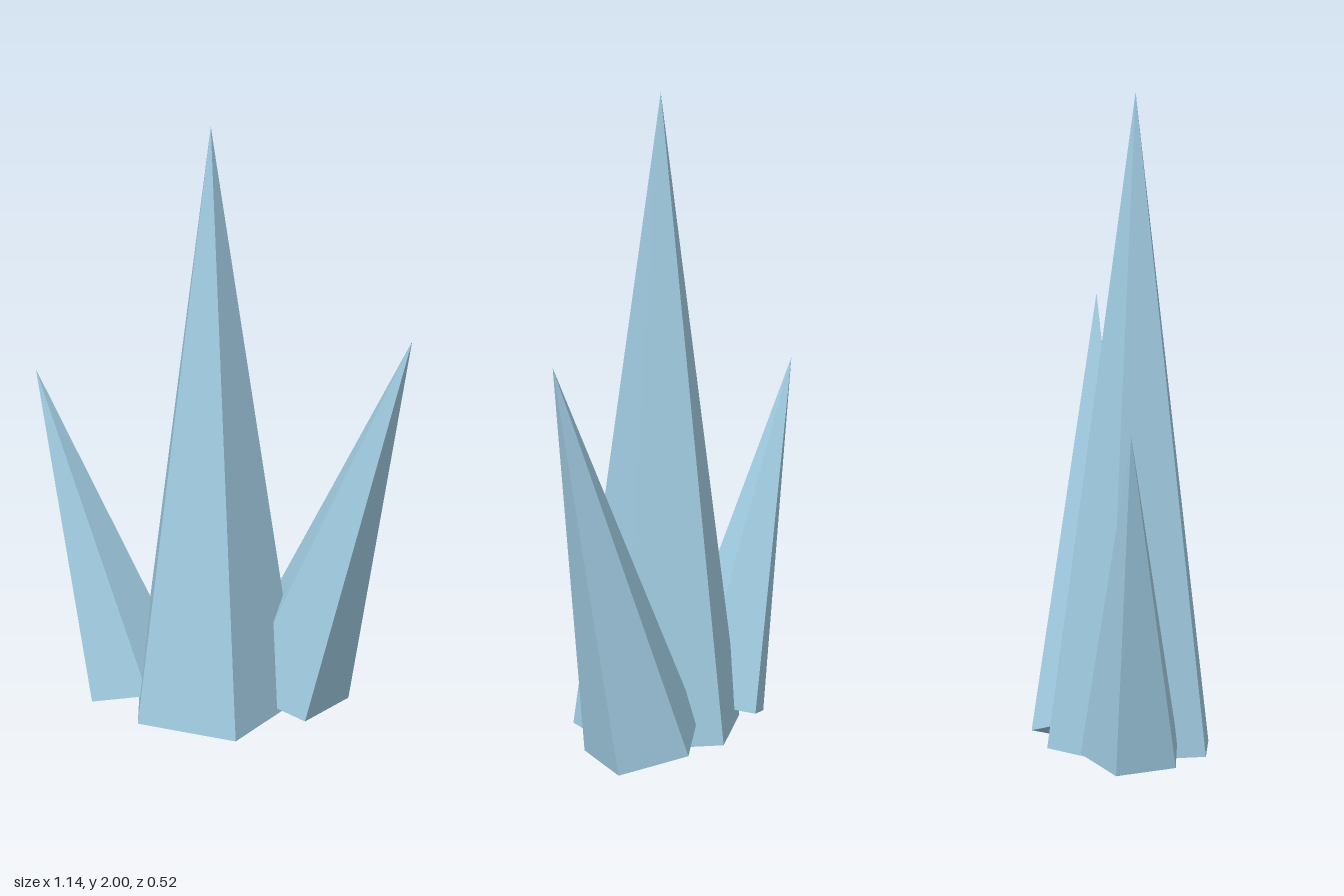
import * as THREE from 'three';

export function createModel() {
  const group = new THREE.Group();
  group.name = 'crystalCluster';
  const ice = new THREE.MeshStandardMaterial({ color: 0xa3cfe5, flatShading: true });
  ice.name = 'paleIceBlue';

  // Five-sided spike with its origin at the base centre, one corner to the back, leaning about z
  function addSpike(name, radius, length, base, lean) {
    const geometry = new THREE.ConeGeometry(radius, length, 5);
    geometry.rotateY(Math.PI);
    geometry.translate(0, length / 2, 0);
    const spike = new THREE.Mesh(geometry, ice);
    spike.name = name;
    spike.position.set(...base);
    spike.rotation.z = lean;
    group.add(spike);
  }

  addSpike('mainSpike', 0.262, 1.97, [-0.02, 0.03, 0.05], 0);
  addSpike('leftSpike', 0.183, 1.31, [0.18, 0.052, -0.08], -0.3);
  addSpike('rightSpike', 0.157, 1.05, [-0.26, 0.051, 0.05], 0.3);

  return group;
}
